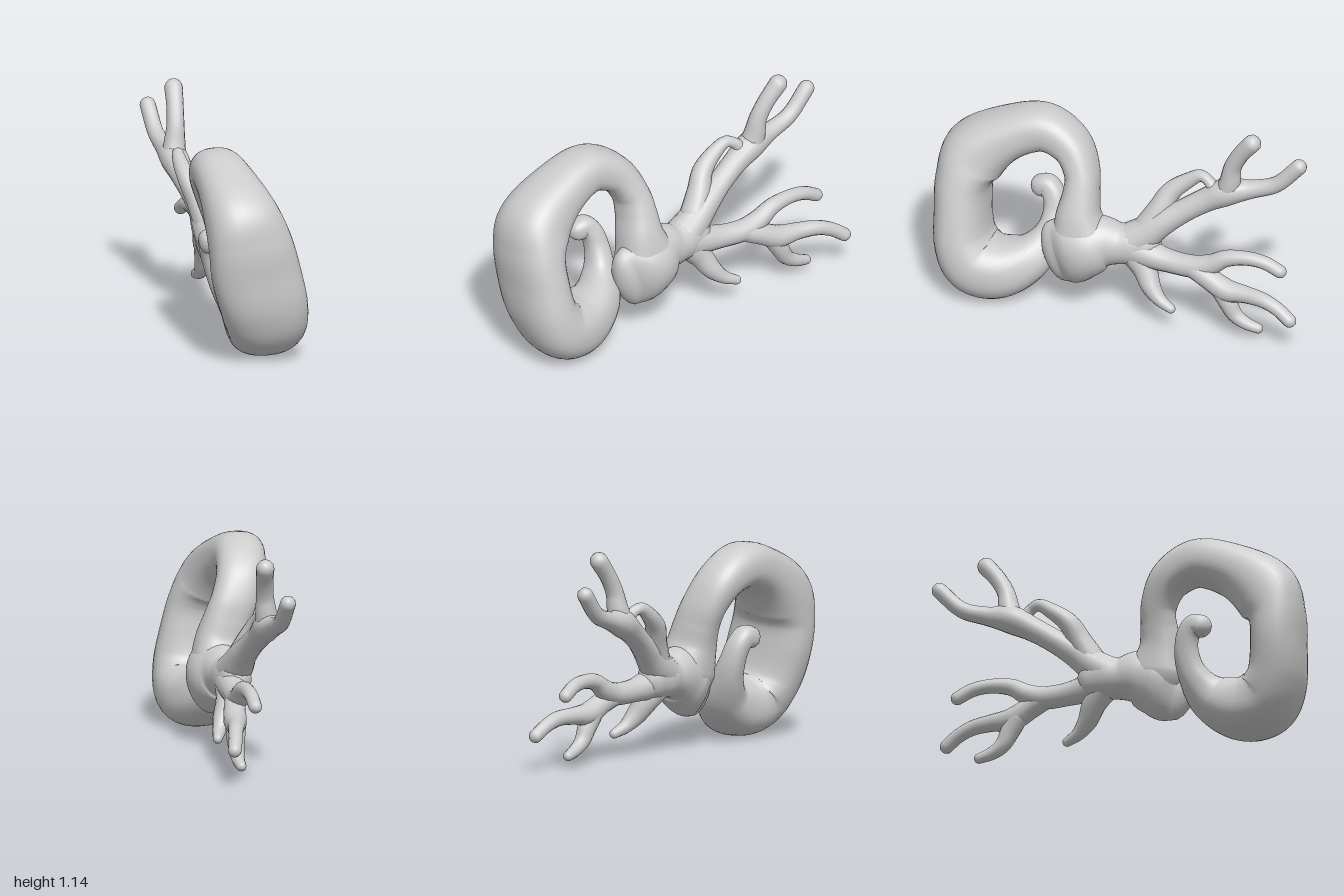
import * as THREE from 'three';

const material = new THREE.MeshStandardMaterial({ color: 0xcccccc });

// Rounded sweep through stations [x, y, z, half thickness, half width along x].
// power > 2 squares off the cross-section.
function sweep(name, stations, { steps = 8, sides = 18, power = 2 } = {}) {
  const centre = new THREE.CatmullRomCurve3(stations.map(s => new THREE.Vector3(s[0], s[1], s[2])));
  const size = new THREE.CatmullRomCurve3(stations.map(s => new THREE.Vector3(s[3], s[4] ?? s[3], 0)));
  size.curveType = 'catmullrom';
  const xAxis = new THREE.Vector3(1, 0, 0);
  const count = (stations.length - 1) * steps;
  const rings = [];
  const addRing = (u, shift, scale) => {
    const t = centre.getTangent(u);
    const s = size.getPoint(u);
    const n = new THREE.Vector3().crossVectors(t, xAxis).normalize();
    const b = new THREE.Vector3().crossVectors(t, n);
    const c = centre.getPoint(u).addScaledVector(t, shift * Math.min(s.x, s.y));
    rings.push({ c, n, b, rn: s.x * scale, rb: s.y * scale });
  };
  // Domed start, body, domed end
  const dome = 5;
  for (let i = 0; i < dome; i++) {
    const a = (i / dome) * Math.PI / 2;
    addRing(0, -Math.cos(a), Math.max(Math.sin(a), 0.002));
  }
  for (let i = 0; i <= count; i++) addRing(i / count, 0, 1);
  for (let i = dome - 1; i >= 0; i--) {
    const a = (i / dome) * Math.PI / 2;
    addRing(1, Math.cos(a), Math.max(Math.sin(a), 0.002));
  }

  const positions = [];
  const indices = [];
  const bulge = v => Math.sign(v) * Math.abs(v) ** (2 / power);
  rings.forEach((r, i) => {
    for (let j = 0; j < sides; j++) {
      const a = (j / sides) * Math.PI * 2;
      const p = r.c.clone()
        .addScaledVector(r.n, r.rn * bulge(Math.cos(a)))
        .addScaledVector(r.b, r.rb * bulge(Math.sin(a)));
      positions.push(p.x, p.y, p.z);
      if (i === rings.length - 1) continue;
      const k = (j + 1) % sides;
      const p0 = i * sides + j, p1 = i * sides + k;
      indices.push(p0, p1, p0 + sides, p1, p1 + sides, p0 + sides);
    }
  });
  const geometry = new THREE.BufferGeometry();
  geometry.setAttribute('position', new THREE.Float32BufferAttribute(positions, 3));
  geometry.setIndex(indices);
  geometry.computeVertexNormals();
  const mesh = new THREE.Mesh(geometry, material);
  mesh.name = name;
  return mesh;
}

export function createModel() {
  const model = new THREE.Group();
  model.name = 'coiledBranchingForm';

  // Big coil: rises from the bulb, loops over the front and ends in a curled tip
  model.add(sweep('coil', [
    [0.07, 0.40, 0.20, 0.165, 0.14],
    [0.045, 0.54, 0.22, 0.118, 0.13],
    [0.01, 0.65, 0.215, 0.095, 0.122],
    [-0.03, 0.75, 0.222, 0.088, 0.12],
    [-0.08, 0.87, 0.29, 0.10, 0.125],
    [-0.11, 0.94, 0.44, 0.12, 0.135],
    [-0.105, 0.885, 0.63, 0.135, 0.16],
    [-0.085, 0.75, 0.805, 0.175, 0.198],
    [-0.06, 0.63, 0.857, 0.148, 0.222],
    [-0.03, 0.48, 0.86, 0.14, 0.235],
    [0.025, 0.29, 0.835, 0.148, 0.228],
    [0.055, 0.19, 0.765, 0.165, 0.21],
    [0.055, 0.168, 0.64, 0.16, 0.182],
    [0.02, 0.23, 0.49, 0.122, 0.135],
    [-0.05, 0.33, 0.41, 0.08, 0.09],
    [-0.10, 0.44, 0.385, 0.063, 0.068],
    [-0.13, 0.53, 0.40, 0.058, 0.062],
    [-0.145, 0.567, 0.435, 0.06, 0.06],
    [-0.15, 0.562, 0.47, 0.058, 0.058],
  ], { sides: 32, power: 2.35 }));

  // Bulb and narrow neck joining the coil to the branches
  model.add(sweep('bulbAndNeck', [
    [0.05, 0.405, -0.14, 0.105, 0.085],
    [0.05, 0.405, -0.07, 0.113, 0.10],
    [0.055, 0.40, 0.0, 0.112, 0.105],
    [0.06, 0.40, 0.08, 0.143, 0.125],
    [0.08, 0.375, 0.17, 0.17, 0.15],
    [0.085, 0.345, 0.25, 0.19, 0.135],
    [0.085, 0.325, 0.315, 0.18, 0.085],
  ], { sides: 28 }));

  // Branches, each tapering along its own path
  const branches = {
    upperBranch: [
      [0.05, 0.41, -0.04, 0.10], [0.04, 0.47, -0.13, 0.09], [0.03, 0.545, -0.22, 0.075],
      [0.01, 0.62, -0.33, 0.063], [-0.01, 0.695, -0.45, 0.064], [-0.02, 0.755, -0.56, 0.074],
      [-0.03, 0.785, -0.69, 0.05], [-0.035, 0.83, -0.82, 0.043], [-0.04, 0.95, -0.94, 0.042],
    ],
    upperRisingTwig: [
      [-0.02, 0.75, -0.56, 0.065], [-0.01, 0.83, -0.58, 0.057], [0.0, 0.92, -0.595, 0.047],
      [0.012, 1.01, -0.64, 0.045], [0.025, 1.095, -0.705, 0.048],
    ],
    upperBridge: [
      [0.03, 0.51, -0.15, 0.075], [0.0, 0.61, -0.205, 0.064], [-0.035, 0.70, -0.255, 0.054],
      [-0.05, 0.77, -0.34, 0.042], [-0.045, 0.815, -0.415, 0.032], [-0.025, 0.795, -0.465, 0.03],
      [-0.015, 0.74, -0.50, 0.045],
    ],
    lowerBranch: [
      [0.05, 0.40, -0.04, 0.10], [0.07, 0.375, -0.15, 0.08], [0.09, 0.355, -0.28, 0.062],
      [0.11, 0.355, -0.42, 0.06], [0.115, 0.385, -0.51, 0.054], [0.12, 0.435, -0.59, 0.045],
      [0.12, 0.453, -0.70, 0.038], [0.12, 0.44, -0.80, 0.036], [0.12, 0.40, -0.88, 0.035],
    ],
    lowerOuterTwig: [
      [0.11, 0.355, -0.40, 0.055], [0.14, 0.315, -0.50, 0.058], [0.16, 0.27, -0.60, 0.06],
      [0.18, 0.27, -0.71, 0.046], [0.21, 0.265, -0.82, 0.04], [0.23, 0.235, -0.90, 0.037],
      [0.25, 0.19, -0.965, 0.036],
    ],
    lowerDroopingTwig: [
      [0.15, 0.27, -0.57, 0.055], [0.16, 0.20, -0.61, 0.05], [0.165, 0.13, -0.65, 0.041],
      [0.17, 0.09, -0.71, 0.034], [0.17, 0.068, -0.775, 0.027],
    ],
    lowestTwig: [
      [0.06, 0.37, -0.08, 0.08], [0.09, 0.29, -0.145, 0.065], [0.13, 0.21, -0.19, 0.052],
      [0.16, 0.155, -0.245, 0.036], [0.185, 0.125, -0.31, 0.025],
    ],
  };
  for (const [name, path] of Object.entries(branches)) model.add(sweep(name, path, { steps: 6, sides: 14 }));

  return model;
}
